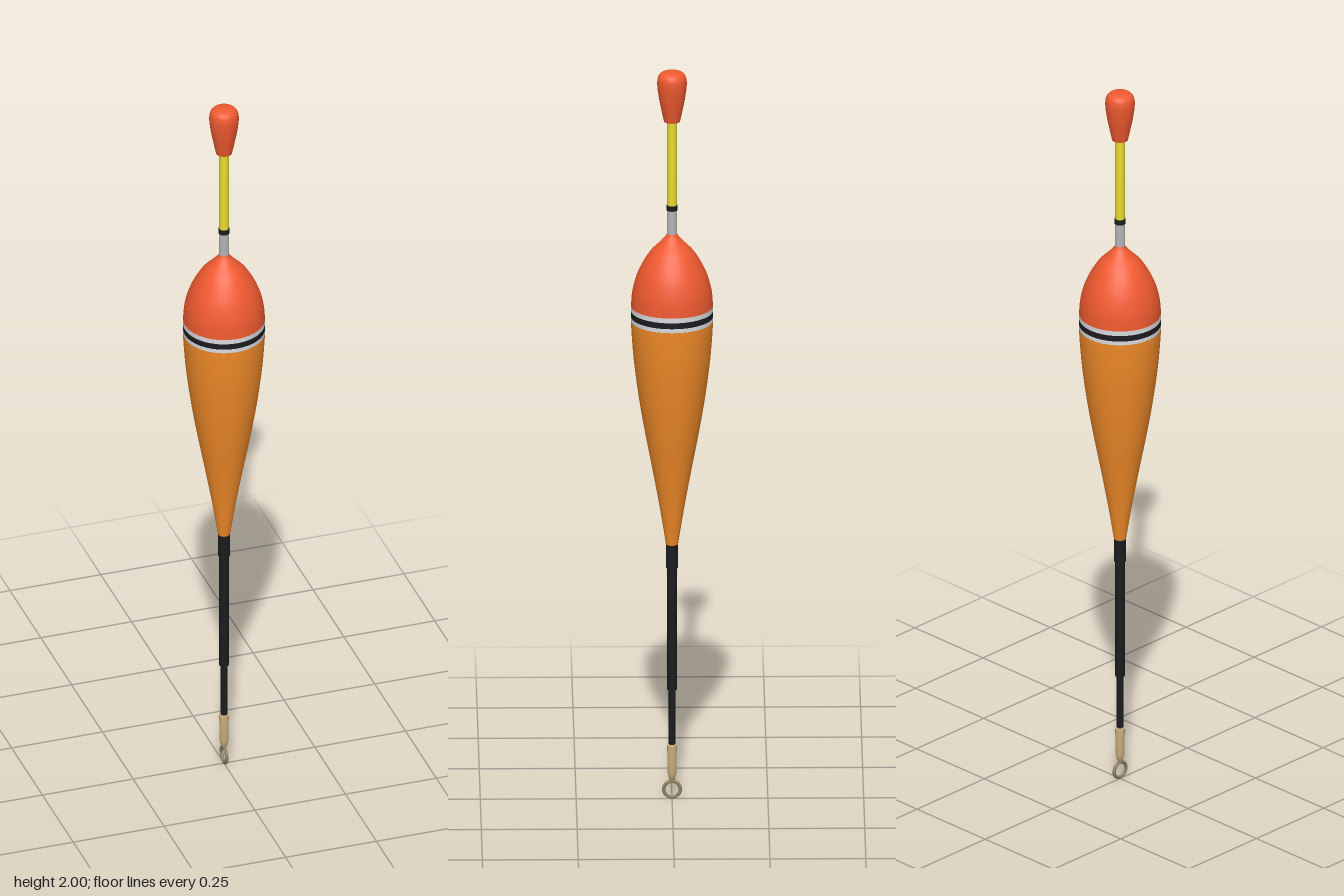
import * as THREE from 'three';

const SEGMENTS = 40;
const RED = 0xf05a30, ORANGE = 0xf08a28, YELLOW = 0xe8dc30, BLACK = 0x1c1c20;
const WHITE = 0xd8dade, GREY = 0xb4b4b8, TAN = 0xc8ac7c, WIRE = 0x8c8064;

// smooth curve through [radius, y] pairs
const curveOf = (pairs) => new THREE.SplineCurve(pairs.map(([r, y]) => new THREE.Vector2(r, y)));

export function createModel() {
  const model = new THREE.Group();

  const add = (name, geometry, color) => {
    const mesh = new THREE.Mesh(geometry, new THREE.MeshStandardMaterial({ color }));
    mesh.name = name;
    model.add(mesh);
    return mesh;
  };
  const turned = (name, points, color) => add(name, new THREE.LatheGeometry(points, SEGMENTS), color);
  const rod = (name, y0, y1, radius, color) => {
    const geometry = new THREE.CylinderGeometry(radius, radius, y1 - y0, 24);
    add(name, geometry, color).position.y = (y0 + y1) / 2;
  };

  // painted body: two curves meeting at the widest ring
  const lower = curveOf([[0.016, 0.7], [0.032, 0.8], [0.05, 0.9], [0.069, 1.0], [0.086, 1.1],
    [0.099, 1.2], [0.1055, 1.28], [0.107, 1.315]]).getPoints(40);
  const upper = curveOf([[0.107, 1.355], [0.103, 1.4], [0.088, 1.45], [0.06, 1.5],
    [0.032, 1.53], [0.017, 1.547], [0.013, 1.555]]).getPoints(36);
  turned('bodyLower', [new THREE.Vector2(0, 0.7), lower[0].clone(), ...lower], ORANGE);
  turned('bodyUpper', upper, RED);

  // striped band around the widest part
  const bands = [['bandLower', 1.315, 1.326, WHITE], ['bandMiddle', 1.326, 1.342, BLACK], ['bandUpper', 1.342, 1.355, WHITE]];
  for (const [name, y0, y1, color] of bands) {
    turned(name, [new THREE.Vector2(0.1072, y0), new THREE.Vector2(0.1072, y1)], color);
  }

  // antenna above the body
  rod('antennaBase', 1.54, 1.62, 0.0135, GREY);
  rod('antennaCollar', 1.618, 1.632, 0.0145, BLACK);
  rod('antenna', 1.63, 1.87, 0.0125, YELLOW);

  // bulb at the tip
  const bulb = curveOf([[0.021, 1.862], [0.027, 1.89], [0.034, 1.925], [0.0385, 1.96],
    [0.037, 1.982], [0.029, 1.994], [0.015, 1.999], [0, 2]]).getPoints(32);
  bulb[bulb.length - 1].x = 0;
  turned('tipBulb', bulb, RED);
  const bulbBase = new THREE.CircleGeometry(0.021, SEGMENTS).rotateX(Math.PI / 2);
  add('tipBulbBase', bulbBase, RED).position.y = 1.862;

  // stem below the body
  rod('stemSleeve', 0.635, 0.702, 0.016, BLACK);
  rod('stem', 0.3, 0.637, 0.0125, BLACK);
  rod('lowerStem', 0.14, 0.302, 0.0085, BLACK);

  // thread whipping that holds the eye
  turned('whipping', [[0, 0.05], [0.006, 0.05], [0.012, 0.072], [0.0125, 0.145], [0.011, 0.15], [0, 0.15]]
    .map(([r, y]) => new THREE.Vector2(r, y)), TAN);

  // wire eye, lying in the yz plane
  const eye = add('lineEye', new THREE.TorusGeometry(0.0215, 0.0045, 12, 36), WIRE);
  eye.rotation.y = Math.PI / 2;
  eye.position.y = 0.026;

  return model;
}
